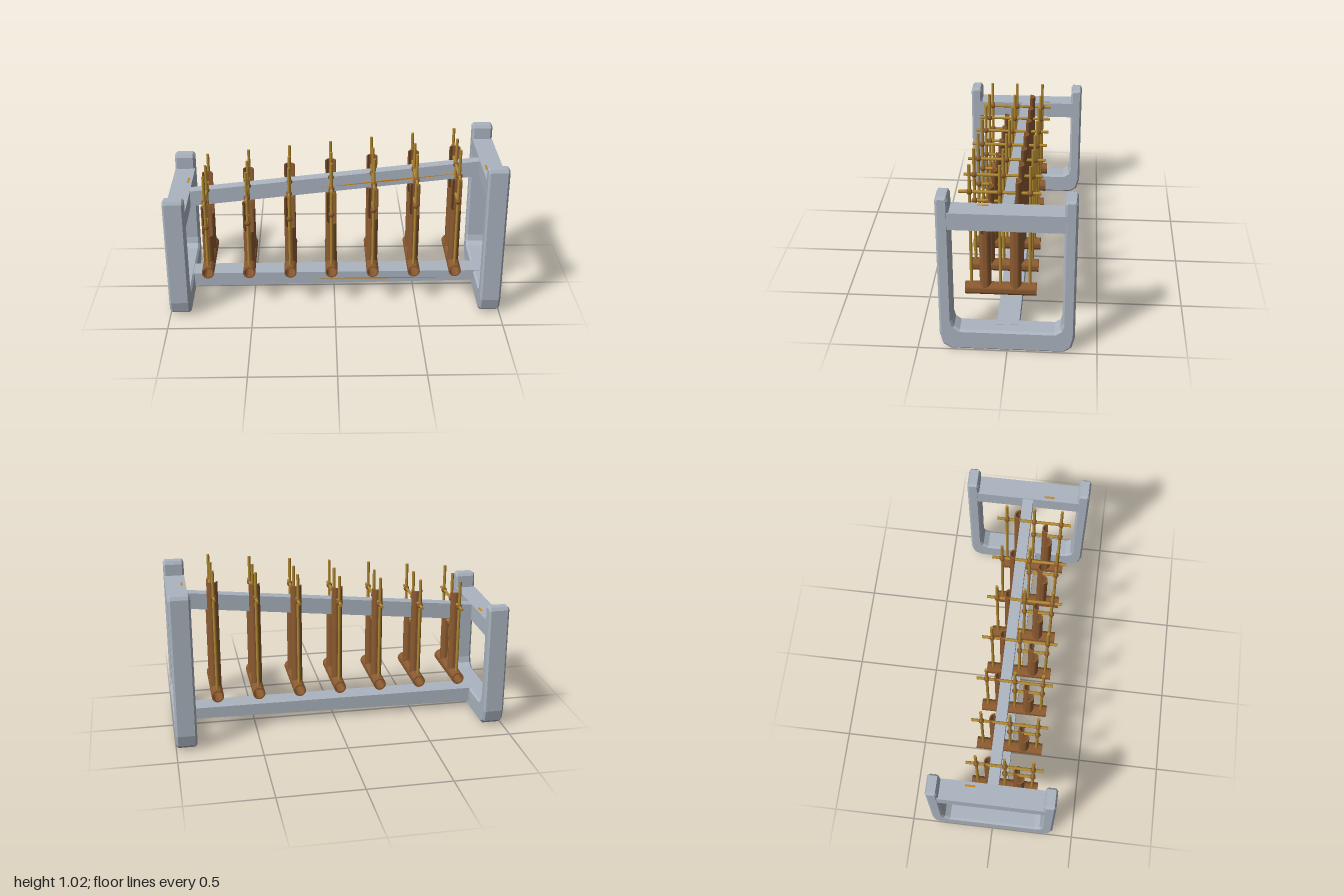
import * as THREE from 'three';
import { toCreasedNormals } from 'three/addons/utils/BufferGeometryUtils.js';

const mat = (name, color) => {
  const m = new THREE.MeshStandardMaterial({ color });
  m.name = name;
  return m;
};

export function createModel() {
  const root = new THREE.Group();
  root.name = 'tubeRattleRack';
  const grey = mat('paintedGrey', 0xabb4c0);
  const bamboo = mat('brownBamboo', 0x8b5a30);
  const cane = mat('goldenCane', 0xb08830);
  const orange = mat('orangeStripe', 0xd08414);

  const add = (parent, name, geo, material, x = 0, y = 0, z = 0) => {
    const mesh = new THREE.Mesh(geo, material);
    mesh.name = name;
    mesh.position.set(x, y, z);
    parent.add(mesh);
    return mesh;
  };
  const polygon = (pts) => new THREE.Shape(pts.map(([x, y]) => new THREE.Vector2(x, y)));

  // U-shaped end frame, profile in z/y, extruded along x
  const endFrame = (name, x, top, barY) => {
    const g = new THREE.Group();
    g.name = name;
    const half = [
      [0.315, 0.0], [0.357, 0.03], [0.375, 0.1], [0.375, top - 0.02], [0.365, top],
      [0.315, top], [0.304, top - 0.02], [0.304, 0.19], [0.294, 0.15], [0.262, 0.128],
    ];
    const mirrored = half.map(([a, b]) => [-a, b]).reverse();
    const b = 0.012;
    const geo = new THREE.ExtrudeGeometry(polygon([...half, ...mirrored]), {
      depth: 0.125 - 2 * b, bevelEnabled: true, bevelSize: b, bevelThickness: b,
      bevelOffset: -b, bevelSegments: 1,
    });
    geo.translate(0, 0, -0.0625 + b);
    geo.rotateY(Math.PI / 2);
    add(g, 'uprights', geo, grey, x);
    add(g, 'crossbar', new THREE.BoxGeometry(0.123, 0.1, 0.63), grey, x, barY);
    // small painted fleck on the crossbar
    add(g, 'crossbarFleck', new THREE.BoxGeometry(0.012, 0.003, 0.06), orange,
      Math.sign(x) * 0.9, barY + 0.05, Math.sign(x) * 0.13);
    root.add(g);
  };
  endFrame('leftEndFrame', 0.9375, 0.96, 0.82);
  endFrame('rightEndFrame', -0.9375, 0.775, 0.63);

  // Rails running between the frames
  const rail = (name, pts, depth) => {
    const geo = new THREE.ExtrudeGeometry(polygon(pts), { depth, bevelEnabled: false });
    geo.translate(0, 0, -depth / 2);
    add(root, name, geo, grey);
  };
  rail('upperRail', [[-0.9, 0.58], [0.9, 0.77], [0.9, 0.867], [-0.9, 0.677]], 0.064);
  rail('lowerRail', [[-0.93, 0.035], [0.93, 0.062], [0.93, 0.13], [-0.93, 0.126]], 0.126);

  // Slim spindle-shaped stripes on the front of the rails
  const stripe = (name, x0, y0, x1, y1, z) => {
    const xm = (x0 + x1) / 2, ym = (y0 + y1) / 2;
    const geo = new THREE.ExtrudeGeometry(
      polygon([[x0, y0], [xm, ym - 0.005], [x1, y1], [xm, ym + 0.005]]),
      { depth: 0.003, bevelEnabled: false });
    add(root, name, geo, orange, 0, 0, z);
  };
  stripe('upperRailStripe', -0.11, 0.698, 0.77, 0.788, 0.031);
  stripe('lowerRailStripe', -0.11, 0.083, 0.73, 0.083, 0.062);

  // Hollow bamboo: full ring or half ring pulled upwards
  const R = 0.033, WALL = 0.008;
  const tube = (length, halfOnly, r = R) => {
    const s = new THREE.Shape();
    if (halfOnly) {
      s.absarc(0, 0, r, 0, Math.PI, false);
      s.absarc(0, 0, r - WALL, Math.PI, 0, true);
      s.closePath();
    } else {
      s.absarc(0, 0, r, 0, Math.PI * 2, false);
      const hole = new THREE.Path();
      hole.absarc(0, 0, r - WALL, 0, Math.PI * 2, true);
      s.holes.push(hole);
    }
    const geo = new THREE.ExtrudeGeometry(s, { depth: length, bevelEnabled: false, curveSegments: 14 });
    geo.rotateX(-Math.PI / 2);
    return toCreasedNormals(geo, 0.7);
  };

  const rodGeo = (length) => new THREE.CylinderGeometry(0.009, 0.009, length, 10);
  const knotGeo = new THREE.SphereGeometry(0.018, 10, 8);
  const baseGeo = tube(0.406, false, 0.037).rotateX(Math.PI / 2);
  const rodZ = [0.22, 0.055, -0.112];

  // Seven rattles, each a step taller than the last
  for (let i = 0; i < 7; i++) {
    const g = new THREE.Group();
    g.name = `rattle${i + 1}`;
    g.position.x = -0.77 + 0.25 * i;
    root.add(g);
    const drop = 0.0262 * (6 - i);

    add(g, 'baseTube', baseGeo, bamboo, 0, 0.237, -0.15);

    // Sounding tubes with the upper front half cut away
    const soundTube = (name, z, shoulder, top) => {
      const y0 = 0.25, y1 = shoulder - drop, y2 = top - drop;
      add(g, name + 'Body', tube(y1 - y0, false), bamboo, 0, y0, z);
      add(g, name + 'Tongue', tube(y2 - y1, true), bamboo, 0, y1, z);
    };
    soundTube('frontTube', 0.14, 0.6, 0.787);
    soundTube('rearTube', -0.032, 0.668, 0.93);

    // Upright canes
    const top = 1.02 - drop, bottom = 0.255;
    for (const z of rodZ) {
      add(g, 'uprightCane', rodGeo(top - bottom), cane, 0, (top + bottom) / 2, z);
    }
    // Cross canes with lashings where they meet the uprights
    const crossCane = (name, y, z0, z1, knots) => {
      const m = add(g, name, rodGeo(z1 - z0), cane, 0, y, (z0 + z1) / 2);
      m.rotation.x = Math.PI / 2;
      for (const z of knots) add(g, 'lashing', knotGeo, bamboo, 0, y, z);
    };
    crossCane('longCrossCane', 0.857 - drop, -0.172, 0.28, rodZ);
    crossCane('shortCrossCane', 0.69 - drop, 0.04, 0.235, rodZ.slice(0, 2));
  }
  return root;
}
